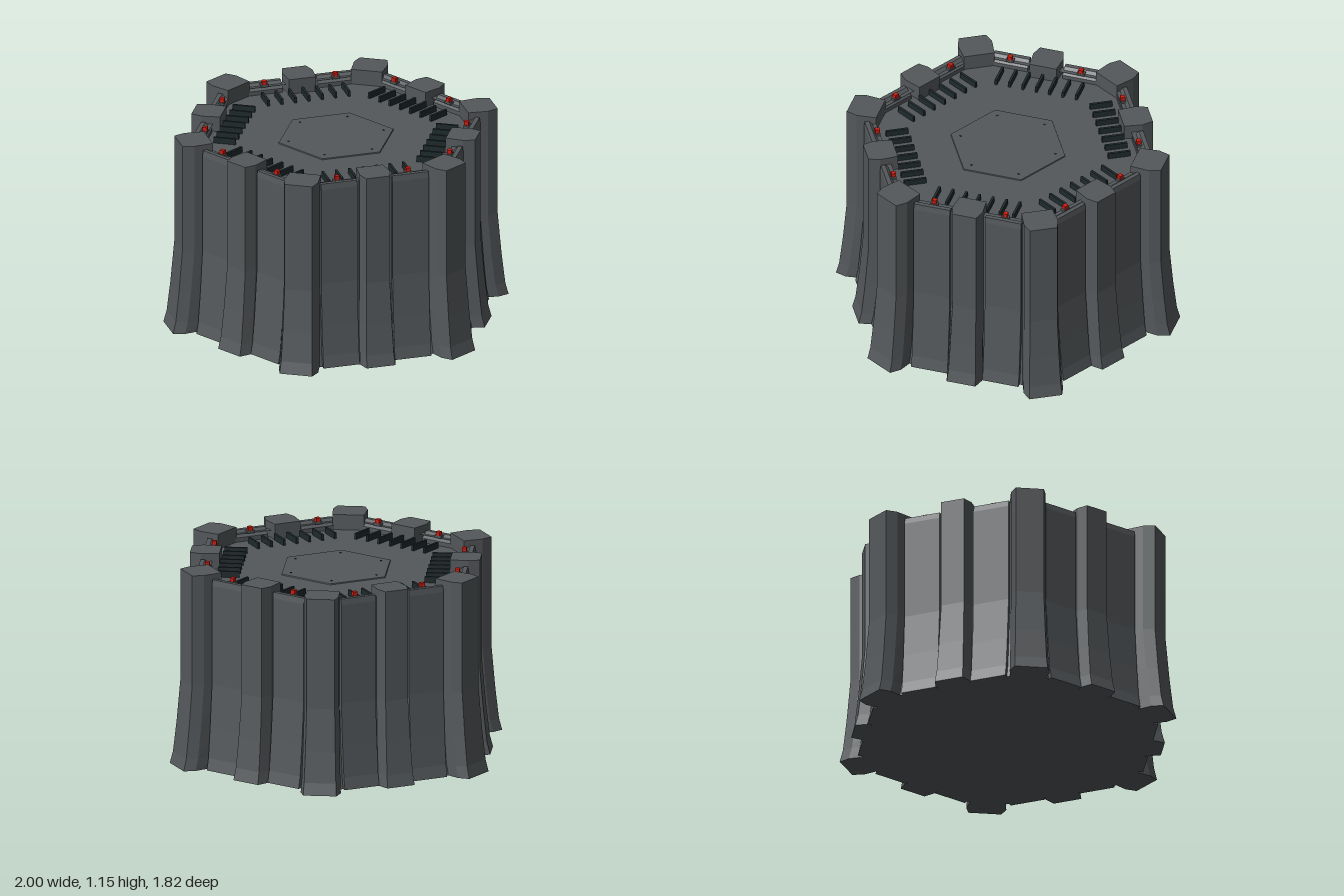
import * as THREE from 'three';

const FLOOR = 1.06;

// Solid through stacked rings; each ring is [y, [[x, z], ...]] with points counter-clockwise from above
function loft(rings) {
  const pos = [];
  const pt = (r, j) => {
    const p = r[1][j % r[1].length];
    return [p[0], r[0], p[1]];
  };
  const tri = (a, b, c) => pos.push(...a, ...b, ...c);
  const n = rings[0][1].length;
  for (let i = 0; i < rings.length - 1; i++) {
    const lo = rings[i], hi = rings[i + 1];
    for (let j = 0; j < n; j++) {
      tri(pt(lo, j), pt(lo, j + 1), pt(hi, j + 1));
      tri(pt(lo, j), pt(hi, j + 1), pt(hi, j));
    }
  }
  const first = rings[0], last = rings[rings.length - 1];
  for (let j = 1; j < n - 1; j++) {
    tri(pt(last, 0), pt(last, j), pt(last, j + 1));
    tri(pt(first, 0), pt(first, j + 1), pt(first, j));
  }
  const g = new THREE.BufferGeometry();
  g.setAttribute('position', new THREE.Float32BufferAttribute(pos, 3));
  g.computeVertexNormals();
  return g;
}

// Heights and flare amounts shared by all the outer walls (1 at the foot, 0 above the bend)
const flare = (top) => [[0, 1], [0.07, 0.7], [0.25, 0.36], [0.5, 0], [top, 0]];

// Chamfered pier: outer face, widest shoulder and inner end
function pier(outer, half, inner, top) {
  return loft(flare(top).map(([y, f]) => {
    const ro = outer + 0.06 * f, rs = ro - 0.065;
    const o = half - 0.02 + 0.015 * f, w = half + 0.015 * f;
    return [y, [[-o, ro], [o, ro], [w, rs], [half - 0.01, inner], [-half + 0.01, inner], [-w, rs]]];
  }));
}

// Flat armour slab between two piers
function slab(x0, x1) {
  const rings = flare(1.085).map(([y, f]) => {
    const z = 0.77 + 0.05 * f;
    return [y, [[x0, z], [x1, z], [x1, 0.7], [x0, 0.7]]];
  });
  rings.push([1.12, [[x0, 0.765], [x1, 0.765], [x1, 0.74], [x0, 0.74]]]);
  return loft(rings);
}

// Hexagon outline with corners on the x axis
function hexagon(apothem) {
  const r = apothem / Math.cos(Math.PI / 6);
  return Array.from({ length: 6 }, (_, k) => {
    const a = (k * Math.PI) / 3;
    return [r * Math.cos(a), -r * Math.sin(a)];
  });
}

export function createModel() {
  const model = new THREE.Group();
  model.name = 'hexagonalPlatform';

  const mat = (name, color) => {
    const m = new THREE.MeshStandardMaterial({ color });
    m.name = name;
    return m;
  };
  const grey = mat('slateGrey', 0x54585b);
  const dark = mat('darkVent', 0x1f2a2c);
  const red = mat('signalRed', 0xd01c10);

  const add = (parent, name, geometry, material, x = 0, y = 0, z = 0) => {
    const m = new THREE.Mesh(geometry, material);
    m.name = name;
    m.position.set(x, y, z);
    parent.add(m);
    return m;
  };

  // Core with the deck on top
  add(model, 'core', loft(flare(FLOOR).map(([y, f]) => [y, hexagon(0.745 + 0.05 * f)])), grey);

  // Parapet ring around the deck
  const ringShape = new THREE.Shape(hexagon(0.745).map((p) => new THREE.Vector2(...p)));
  ringShape.holes.push(new THREE.Path(hexagon(0.7).map((p) => new THREE.Vector2(...p))));
  const ring = new THREE.ExtrudeGeometry(ringShape, { depth: 0.05, bevelEnabled: false });
  ring.rotateX(-Math.PI / 2);
  add(model, 'parapet', ring, grey, 0, FLOOR - 0.005, 0);

  // Raised centre hatch with small bolts
  add(model, 'centreHatch', loft([[FLOOR, hexagon(0.297)], [FLOOR + 0.006, hexagon(0.295)]]), grey);
  const boltGeo = new THREE.CylinderGeometry(0.006, 0.006, 0.004, 6);
  hexagon(0.245).forEach(([x, z]) => add(model, 'hatchBolt', boltGeo, dark, x, FLOOR + 0.007, z));

  const sidePier = pier(0.83, 0.09, 0.66, 1.15);
  const cornerPier = pier(0.938, 0.1, 0.76, 1.15);
  const slabs = [slab(-0.32, -0.105), slab(0.105, 0.32)];
  const finGeo = new THREE.BoxGeometry(0.014, 0.035, 0.13);
  const lampBase = new THREE.BoxGeometry(0.045, 0.015, 0.03);
  const lampGeo = new THREE.BoxGeometry(0.026, 0.03, 0.026);

  // Six identical sides and corners
  for (let k = 0; k < 6; k++) {
    const side = new THREE.Group();
    side.name = 'side';
    side.rotation.y = (k * Math.PI) / 3;
    model.add(side);
    add(side, 'sidePier', sidePier, grey);
    slabs.forEach((g) => add(side, 'wallSlab', g, grey));
    for (let i = -3; i <= 3; i++) {
      add(side, 'ventFin', finGeo, dark, i * 0.08, FLOOR + 0.0175, 0.595);
    }
    for (const s of [-1, 1]) {
      add(side, 'lampBase', lampBase, grey, s * 0.212, 1.11, 0.716);
      add(side, 'lamp', lampGeo, red, s * 0.212, 1.125, 0.715);
    }
    const corner = add(model, 'cornerPier', cornerPier, grey);
    corner.rotation.y = ((k + 0.5) * Math.PI) / 3;
  }
  return model;
}
